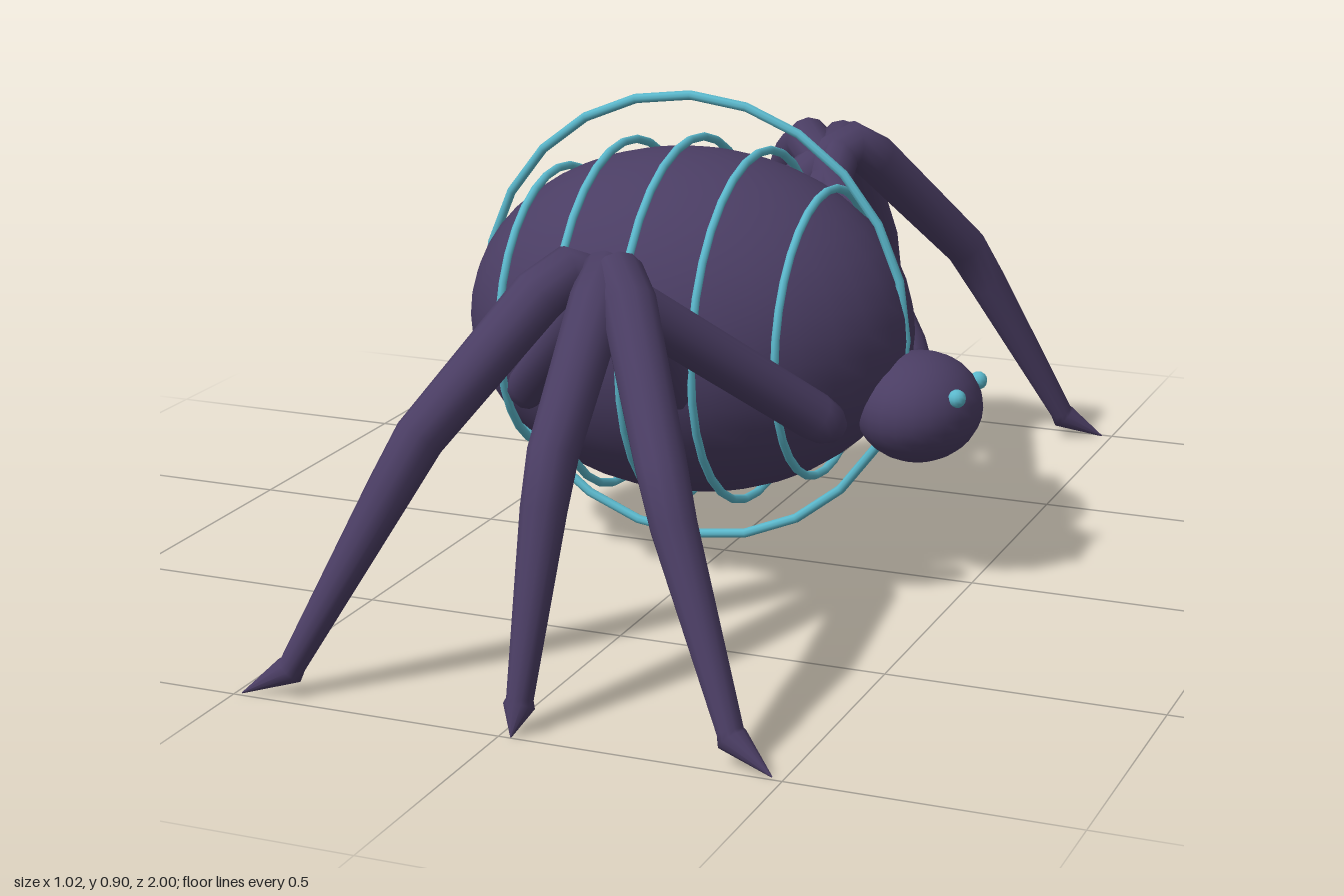
import * as THREE from 'three';

const SIDES = 12;

// Sweeps a round section along points [x, y, z, radius]; side is a fixed sideways axis.
function limbGeometry(points, side) {
  const centers = points.map(p => new THREE.Vector3(p[0], p[1], p[2]));
  const positions = [], index = [];
  centers.forEach((c, i) => {
    const ahead = centers[Math.min(i + 1, centers.length - 1)].clone().sub(centers[i]).normalize();
    const behind = c.clone().sub(centers[Math.max(i - 1, 0)]).normalize();
    const tangent = ahead.add(behind).normalize();
    const u = side.clone().addScaledVector(tangent, -side.dot(tangent)).normalize();
    const v = tangent.clone().cross(u);
    for (let j = 0; j < SIDES; j++) {
      const a = (j / SIDES) * Math.PI * 2;
      const p = c.clone().addScaledVector(u, Math.cos(a) * points[i][3])
        .addScaledVector(v, Math.sin(a) * points[i][3]);
      positions.push(p.x, p.y, p.z);
      if (i > 0) {
        const k = (j + 1) % SIDES, r0 = (i - 1) * SIDES, r1 = i * SIDES;
        index.push(r0 + j, r0 + k, r1 + k, r0 + j, r1 + k, r1 + j);
      }
    }
  });
  const g = new THREE.BufferGeometry();
  g.setAttribute('position', new THREE.Float32BufferAttribute(positions, 3));
  g.setIndex(index);
  g.computeVertexNormals();
  return g;
}

export function createModel() {
  const purple = new THREE.MeshStandardMaterial({ color: 0x4a3d63 });
  purple.name = 'dark purple';
  const teal = new THREE.MeshStandardMaterial({ color: 0x5bb8cc });
  teal.name = 'teal';

  const model = new THREE.Group();
  model.name = 'spider';
  const add = (name, geometry, material, x = 0, y = 0, z = 0) => {
    const mesh = new THREE.Mesh(geometry, material);
    mesh.name = name;
    mesh.position.set(x, y, z);
    model.add(mesh);
    return mesh;
  };

  // Body and head
  add('body', new THREE.SphereGeometry(1, 32, 24).scale(0.435, 0.327, 0.335), purple, -0.068, 0.46, 0);
  add('head', new THREE.SphereGeometry(1, 24, 16).scale(0.118, 0.102, 0.135), purple, 0.39, 0.337, 0);
  for (const s of [1, -1]) {
    add('eye', new THREE.SphereGeometry(0.017, 12, 8), teal, 0.484, 0.379, s * 0.065);
  }

  // Hoops around the body, and one long hoop down its middle
  for (const [x, r] of [[-0.342, 0.27], [-0.205, 0.331], [-0.068, 0.346], [0.068, 0.331], [0.205, 0.27]]) {
    add('bodyHoop', new THREE.TorusGeometry(r, 0.008, 8, 32).rotateY(Math.PI / 2), teal, x, 0.46, 0);
  }
  add('longHoop', new THREE.TorusGeometry(0.431, 0.009, 8, 24), teal, -0.068, 0.46, 0);

  // Legs: three per side; outer ones cross over at the knees
  for (const s of [1, -1]) {
    for (const d of [1, 0, -1]) {
      // spread is measured along x, sign d; middle leg stays at one x
      const at = (x, y, z, r) => [d === 0 ? 0.022 : -0.004 + d * x, y, s * z, r];
      const points = [
        at(0.318, 0.335, 0.215, 0.001),
        at(0.313, 0.341, 0.22, 0.024),
        at(0.3, 0.355, 0.232, 0.039),
        at(0.28, 0.375, 0.252, 0.044),
        at(-0.01, 0.665, 0.553, 0.046),
        at(-0.048, 0.689, 0.594, 0.049),
        at(-0.085, 0.655, 0.633, 0.049),
        at(-0.222, 0.44, 0.82, 0.044),
        at(-0.26, 0.355, 0.859, 0.04),
        at(-0.4, 0.058, 0.962, 0.023),
        at(-0.405, 0.047, 0.966, 0.027),
        at(-0.484, 0.004, d === 0 ? 0.999 : 0.992, 0.001),
      ];
      const a = points[3], b = points[7];
      const side = new THREE.Vector3(b[2] - a[2], 0, a[0] - b[0]).normalize();
      add(d === 0 ? 'middleLeg' : 'crossingLeg', limbGeometry(points, side), purple);
    }
  }

  return model;
}
